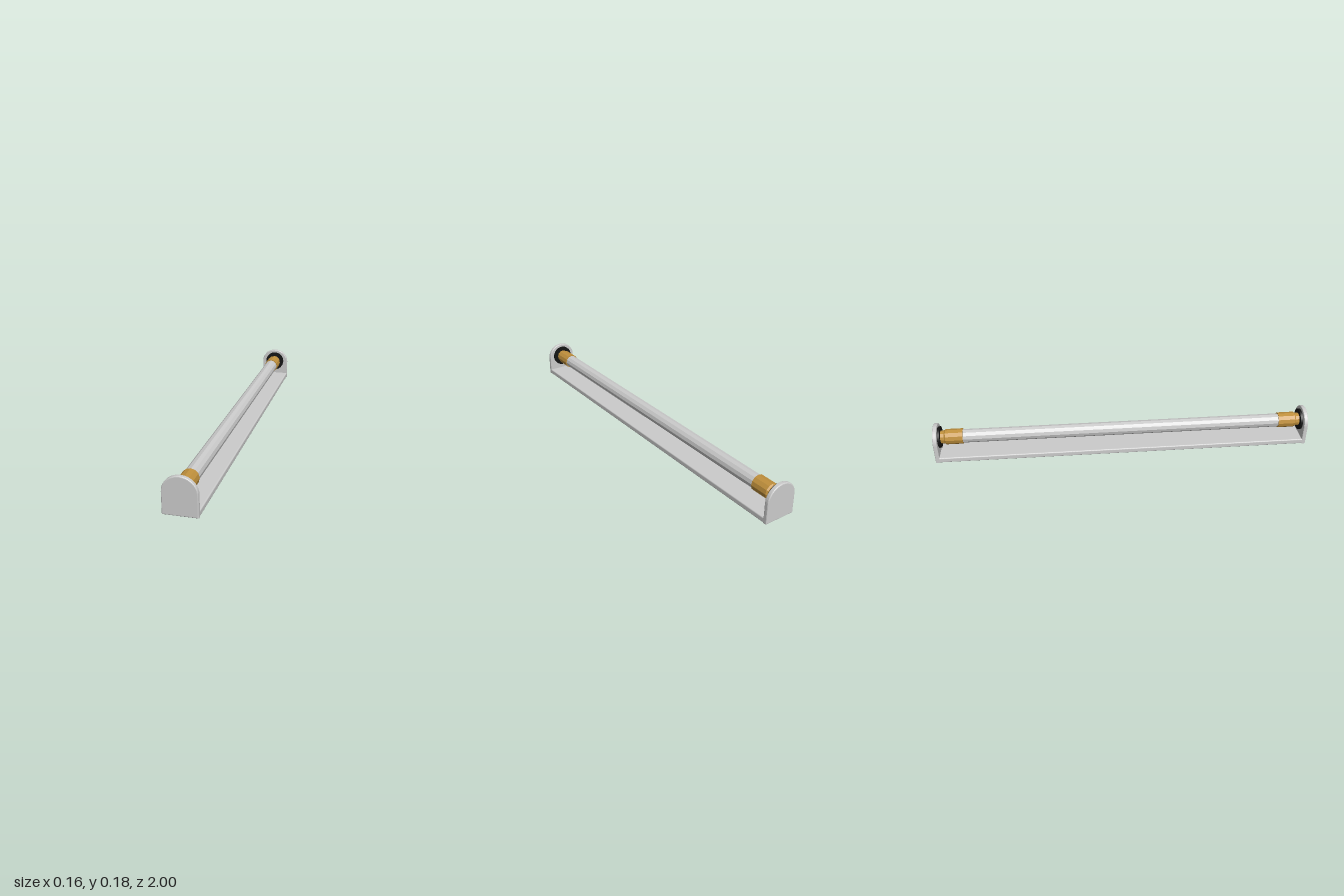
import * as THREE from 'three';

export function createModel() {
  const model = new THREE.Group();
  const grey = new THREE.MeshStandardMaterial({ color: 0xcccccc, flatShading: true });
  const brass = new THREE.MeshStandardMaterial({ color: 0xc0903c, flatShading: true });
  const black = new THREE.MeshStandardMaterial({ color: 0x141414 });
  const W = 0.081, AXIS = 0.11, SIDES = 12;

  const add = (parent, name, geometry, material) => {
    const mesh = new THREE.Mesh(geometry, material);
    mesh.name = name;
    parent.add(mesh);
    return mesh;
  };

  // Outline extruded along z between z0 and z1 with rounded edges
  const slab = (shape, z0, z1, bevel) => new THREE.ExtrudeGeometry(shape, {
    depth: z1 - z0 - 2 * bevel, bevelEnabled: true, bevelThickness: bevel,
    bevelSize: bevel, bevelOffset: -bevel, bevelSegments: 3, curveSegments: 12,
  }).translate(0, 0, z0 + bevel);

  // Long base tray with rounded long edges
  const r = 0.007, top = 0.028;
  const section = new THREE.Shape();
  section.moveTo(-W + r, 0);
  section.lineTo(W - r, 0);
  section.quadraticCurveTo(W, 0, W, r);
  section.lineTo(W, top - r);
  section.quadraticCurveTo(W, top, W - r, top);
  section.lineTo(-W + r, top);
  section.quadraticCurveTo(-W, top, -W, top - r);
  section.lineTo(-W, r);
  section.quadraticCurveTo(-W, 0, -W + r, 0);
  add(model, 'base', slab(section, -0.995, 0.995, 0.004), grey);

  // Arched end plate outline
  const arch = new THREE.Shape();
  arch.moveTo(-W, 0);
  arch.lineTo(W, 0);
  arch.lineTo(W, 0.105);
  arch.absellipse(0, 0.105, W, 0.078, 0, Math.PI, false);
  arch.lineTo(-W, 0);

  // Glass tube
  const tube = new THREE.CylinderGeometry(0.036, 0.036, 1.72, SIDES).rotateX(Math.PI / 2);
  add(model, 'lampTube', tube, grey).position.y = AXIS;

  // Metal cap profile, stepping in towards the socket
  const capProfile = [[0, 0.85], [0.041, 0.85], [0.041, 0.94], [0.035, 0.947], [0.035, 0.968], [0, 0.968]]
    .map(([x, y]) => new THREE.Vector2(x, y));

  for (const side of [1, -1]) {
    const end = new THREE.Group();
    end.name = side > 0 ? 'frontEnd' : 'backEnd';
    end.rotation.y = side > 0 ? 0 : Math.PI;
    model.add(end);

    add(end, 'endPlate', slab(arch, 0.978, 1, 0.005), grey);

    const socket = new THREE.CylinderGeometry(0.057, 0.057, 0.016, 32).rotateX(Math.PI / 2);
    add(end, 'socketDisc', socket, black).position.set(0, AXIS, 0.974);

    const cap = new THREE.LatheGeometry(capProfile, SIDES).rotateX(Math.PI / 2);
    add(end, 'tubeCap', cap, brass).position.y = AXIS;
  }
  return model;
}
